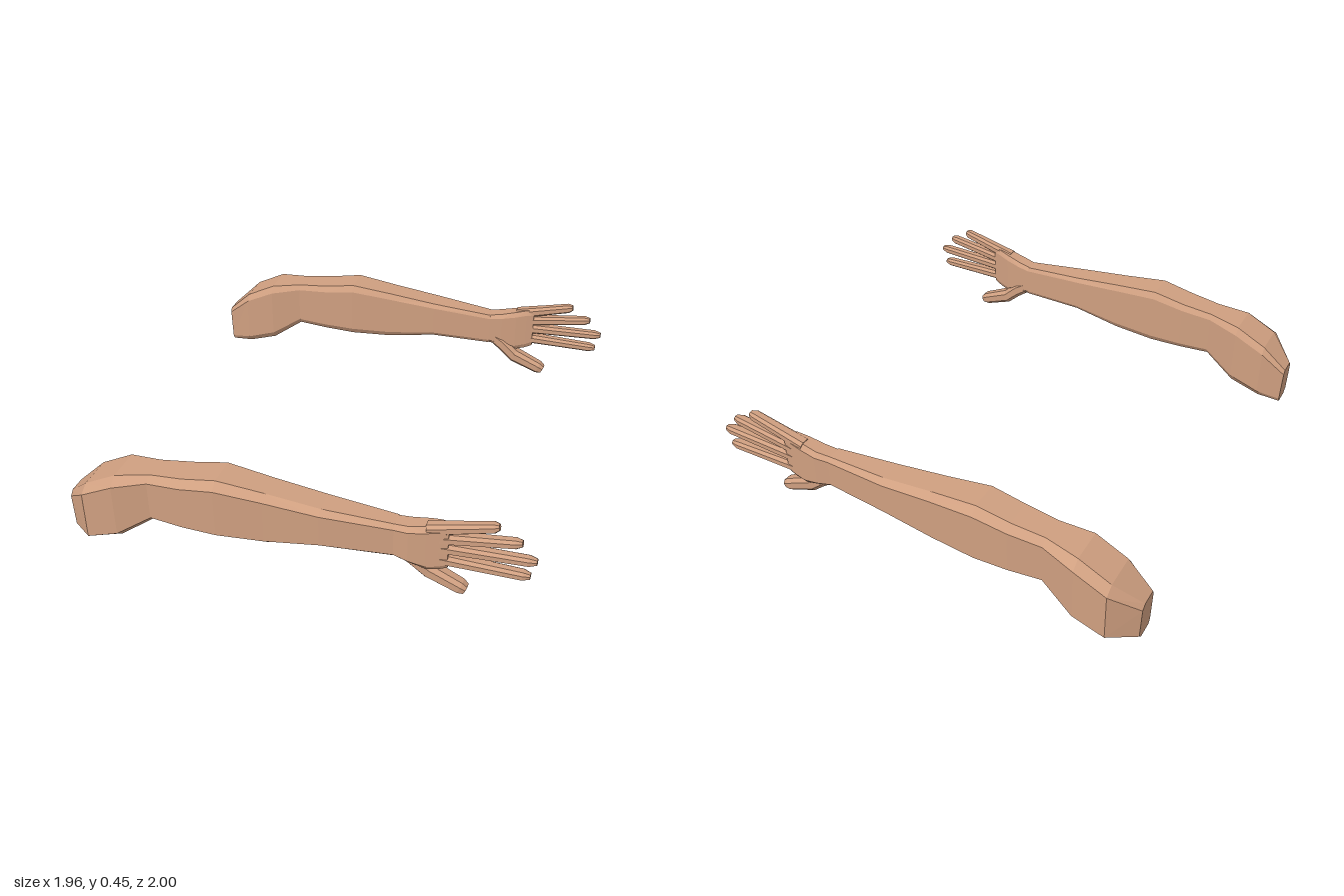
import * as THREE from 'three';

const skin = new THREE.MeshStandardMaterial({ color: 0xcf9f80, flatShading: true });

// Chamfered eight-sided cross-section: [x, bottom, top, inner z, outer z, lean]
// cy, ci and co are the chamfers as fractions of height and depth.
function ring([x, y0, y1, z0, z1, lean = 0], { cy, ci, co }) {
  const h = y1 - y0, d = z1 - z0;
  const a = y0 + h * cy, b = y1 - h * cy;
  return [
    [y1, z0 + d * ci], [y1, z1 - d * co], [b, z1], [a, z1],
    [y0, z1 - d * co], [y0, z0 + d * ci], [a, z0], [b, z0],
  ].map(([y, z]) => [x + lean * (2 * (y - y0) / h - 1), y, z]);
}

// Skins a row of cross-sections and caps both ends; side mirrors it in z
function loft(name, sections, chamfer, side) {
  const rings = sections.map((s) => ring(s, chamfer));
  const n = 8, pos = [], index = [];
  const tri = (a, b, c) => (side > 0 ? index.push(a, b, c) : index.push(a, c, b));
  rings.forEach((r) => r.forEach(([x, y, z]) => pos.push(x, y, z * side)));
  for (let i = 0; i < rings.length - 1; i++) {
    for (let j = 0; j < n; j++) {
      const a = i * n + j, b = i * n + (j + 1) % n;
      tri(a, b, b + n);
      tri(a, b + n, a + n);
    }
  }
  const last = (rings.length - 1) * n;
  for (let j = 1; j < n - 1; j++) {
    tri(0, j + 1, j);
    tri(last, last + j, last + j + 1);
  }
  let geo = new THREE.BufferGeometry();
  geo.setAttribute('position', new THREE.Float32BufferAttribute(pos, 3));
  geo.setIndex(index);
  geo = geo.toNonIndexed();
  geo.computeVertexNormals();
  const mesh = new THREE.Mesh(geo, skin);
  mesh.name = name;
  return mesh;
}

// Shoulder to wrist
const armSections = [
  [-0.98, 0.005, 0.19, 0.805, 0.91, -0.003],
  [-0.87, 0.02, 0.295, 0.78, 0.998],
  [-0.73, 0.065, 0.365, 0.78, 0.998],
  [-0.585, 0.165, 0.385, 0.808, 0.963],
  [-0.44, 0.158, 0.402, 0.8, 0.975],
  [-0.29, 0.155, 0.43, 0.797, 0.98],
  [-0.09, 0.165, 0.408, 0.81, 0.965],
  [0.14, 0.205, 0.383, 0.817, 0.958],
  [0.43, 0.205, 0.36, 0.832, 0.922],
];

// Palm widening towards the knuckles
const palmSections = [
  [0.43, 0.205, 0.36, 0.832, 0.922],
  [0.49, 0.195, 0.37, 0.838, 0.933],
  [0.56, 0.178, 0.388, 0.848, 0.93],
  [0.61, 0.19, 0.4, 0.86, 0.926],
  [0.645, 0.205, 0.4, 0.87, 0.922],
];

// Thumb branching from the lower edge of the hand
const thumbSections = [
  [0.45, 0.195, 0.27, 0.836, 0.91],
  [0.5, 0.162, 0.24, 0.832, 0.91, 0.005],
  [0.563, 0.113, 0.175, 0.832, 0.902, 0.012],
  [0.69, 0.064, 0.116, 0.838, 0.9, 0.012],
  [0.712, 0.062, 0.098, 0.845, 0.893, 0.009],
];

// Fingers: name, knuckle x and y, tip x and y
const fingers = [
  ['indexFinger', 0.56, 0.368, 0.83, 0.438],
  ['middleFinger', 0.56, 0.328, 0.92, 0.382],
  ['ringFinger', 0.56, 0.29, 0.98, 0.308],
  ['littleFinger', 0.56, 0.238, 0.96, 0.234],
];

function fingerSections(x0, y0, x1, y1) {
  return [[0, 0.024], [0.5, 0.021], [0.93, 0.019], [1, 0.011]].map(([t, r]) => {
    const x = x0 + (x1 - x0) * t, y = y0 + (y1 - y0) * t;
    const lean = -r * (y1 - y0) / (x1 - x0);
    return [x, y - r, y + r, 0.897 - r * 1.25, 0.897 + r * 1.25, lean];
  });
}

function makeArm(name, side) {
  const arm = new THREE.Group();
  arm.name = name;
  const soft = { cy: 0.25, ci: 0.25, co: 0.25 };
  arm.add(loft('upperArmAndForearm', armSections, { cy: 0.11, ci: 0.1, co: 0.2 }, side));
  arm.add(loft('palm', palmSections, { cy: 0.11, ci: 0.15, co: 0.2 }, side));
  arm.add(loft('thumb', thumbSections, soft, side));
  for (const [label, ...line] of fingers) {
    arm.add(loft(label, fingerSections(...line), soft, side));
  }
  return arm;
}

export function createModel() {
  const model = new THREE.Group();
  model.name = 'armPair';
  model.add(makeArm('frontArm', 1), makeArm('backArm', -1));
  return model;
}
